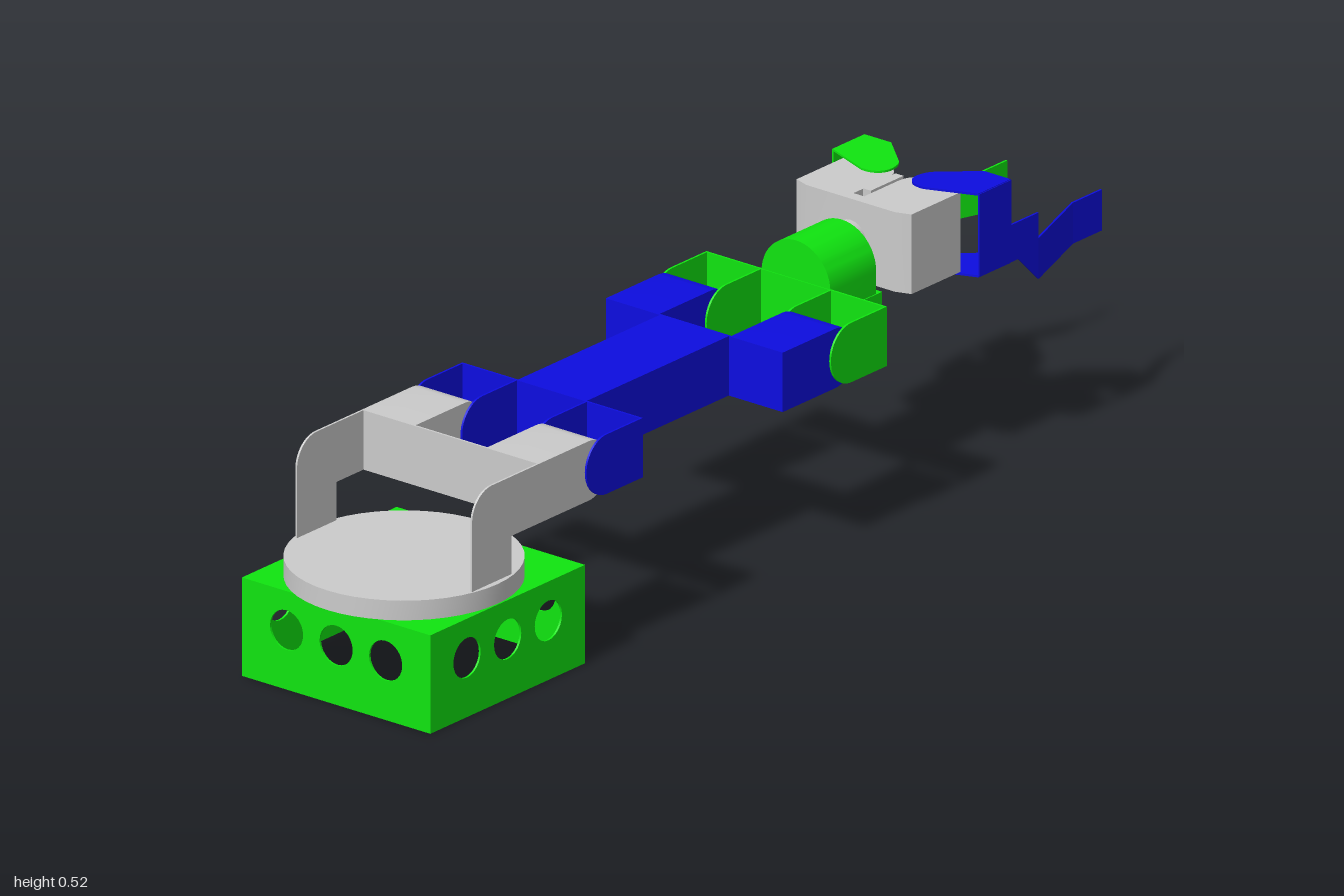
import * as THREE from 'three';
import { toCreasedNormals } from 'three/addons/utils/BufferGeometryUtils.js';

const material = (color) => new THREE.MeshStandardMaterial({ color, side: THREE.DoubleSide });
const T = 0.004; // sheet thickness
const Y0 = 0.295, Y1 = 0.407; // height range of the arm links

export function createModel() {
  const grey = material(0xcccccc), green = material(0x10e510), blue = material(0x0d0de0);
  const root = new THREE.Group();
  root.name = 'robotArm';

  const add = (name, geo, mat, parent = root) => {
    const mesh = new THREE.Mesh(toCreasedNormals(geo, 0.6), mat);
    mesh.name = name;
    parent.add(mesh);
    return mesh;
  };
  const box = (name, mat, x0, x1, y0, y1, z0, z1, parent) => {
    const geo = new THREE.BoxGeometry(x1 - x0, y1 - y0, z1 - z0);
    geo.translate((x0 + x1) / 2, (y0 + y1) / 2, (z0 + z1) / 2);
    return add(name, geo, mat, parent);
  };
  const poly = (pts) => new THREE.Shape(pts.map(([a, b]) => new THREE.Vector2(a, b)));
  const extrude = (shape, depth) =>
    new THREE.ExtrudeGeometry(shape, { depth, bevelEnabled: false, curveSegments: 12 });
  // x-y outline spanning z0..z1
  const sideCut = (shape, z0, z1) => extrude(shape, z1 - z0).translate(0, 0, z0);
  // plan outline (x, -z) spanning y0..y1
  const planCut = (shape, y0, y1) => extrude(shape, y1 - y0).rotateX(-Math.PI / 2).translate(0, y0, 0);

  // Flat at xFlat, rounded at xRound
  const lugShape = (xFlat, xRound) => {
    const r = (Y1 - Y0) / 2, dir = Math.sign(xRound - xFlat), cx = xRound - dir * r;
    const s = new THREE.Shape();
    s.moveTo(xFlat, Y0);
    s.lineTo(cx, Y0);
    s.absarc(cx, Y0 + r, r, -Math.PI / 2, Math.PI / 2, dir < 0);
    s.lineTo(xFlat, Y1);
    s.closePath();
    return s;
  };
  // Pair of thick rounded lugs joined by a cross wall
  const lugs = (name, mat, xFlat, xRound) => {
    for (const [z0, z1] of [[0.081, 0.2], [-0.2, -0.081]]) {
      add(name + 'Lug', sideCut(lugShape(xFlat, xRound), z0, z1), mat);
    }
    box(name + 'CrossWall', mat, xFlat - T / 2, xFlat + T / 2, Y0, Y1, -0.2, 0.2);
  };
  // Thin rounded plates straddling the lugs, joined by a cross wall
  const clevis = (name, mat, xFlat, xRound) => {
    for (const z of [-0.204, -0.081, 0.077, 0.2]) {
      add(name + 'ClevisPlate', sideCut(lugShape(xFlat, xRound), z, z + T), mat);
    }
    box(name + 'ClevisWall', mat, xFlat - T / 2, xFlat + T / 2, Y0, Y1, -0.204, 0.204);
  };

  // Base: open-bottomed box with three round holes in each wall
  const base = new THREE.Group();
  base.name = 'base';
  base.position.x = -0.763;
  root.add(base);
  const H = 0.213;
  for (let i = 0; i < 4; i++) {
    const wall = poly([[-H, 0], [H, 0], [H, 0.185], [-H, 0.185]]);
    for (const x of [-0.112, 0, 0.112]) {
      const hole = new THREE.Path();
      hole.absarc(x, 0.112, 0.0375, 0, Math.PI * 2, true);
      wall.holes.push(hole);
    }
    add('baseWall', sideCut(wall, H - T, H), green, base).rotation.y = i * Math.PI / 2;
  }
  box('baseTop', green, -H, H, 0.181, 0.1855, -H, H, base);

  // Turntable disc
  add('turntable', new THREE.CylinderGeometry(0.211, 0.211, 0.037, 48).translate(-0.789, 0.2045, 0), grey);

  // Shoulder: thin upright side plates bent into the first lugs
  const upright = poly([[-0.845, 0.222], [-0.737, 0.222], [-0.737, Y0], [-0.66, Y0], [-0.66, Y1], [-0.79, Y1]]);
  upright.absarc(-0.79, Y1 - 0.055, 0.055, Math.PI / 2, Math.PI, false);
  for (const z of [-0.2, 0.2 - T]) add('shoulderPlate', sideCut(upright, z, z + T), grey);
  lugs('shoulder', grey, -0.66, -0.468);

  // Main arm link
  clevis('armLink', blue, -0.382, -0.535);
  box('armBeam', blue, -0.382, 0.012, Y0, Y1, -0.078, 0.078);
  lugs('armLink', blue, 0.012, 0.21);

  // Wrist: clevis with an arched motor housing
  clevis('wrist', green, 0.29, 0.138);
  const arch = poly([[-0.078, Y0], [0.078, Y0], [0.078, 0.402]]);
  arch.absarc(0, 0.402, 0.078, 0, Math.PI, false);
  add('wristHousing', extrude(arch, 0.126).rotateY(Math.PI / 2).translate(0.29, 0, 0), green);
  box('wristFoot', green, 0.29, 0.43, Y0, 0.36, -0.08, 0.08);
  add('wristShaft', new THREE.CylinderGeometry(0.035, 0.035, 0.04, 24)
    .rotateZ(Math.PI / 2).translate(0.427, 0.437, 0), grey);

  // Gripper: mirrored body halves and fingers
  const finger = [
    // outline in x-y, then the straight run (x0, z0)-(x1, z1) it follows
    [[[0.592, 0.36], [0.7, 0.36], [0.755, 0.305], [0.755, 0.43], [0.68, 0.43], [0.68, 0.515], [0.592, 0.515]],
      0.592, 0.165, 0.755, 0.165],
    [[[0.755, 0.305], [0.92, 0.305], [0.92, 0.382], [0.755, 0.382]], 0.755, 0.165, 0.92, 0.107],
    [[[0.92, 0.305], [1, 0.305], [1, 0.382], [0.92, 0.382]], 0.92, 0.107, 1, 0.107],
  ];
  for (const [side, mat, label] of [[1, blue, 'left'], [-1, green, 'right']]) {
    const half = new THREE.Group();
    half.name = label + 'GripperHalf';
    half.scale.z = side;
    root.add(half);

    // body half with a rounded inner front corner
    const body = poly([[0.44, -0.012], [0.44, -0.1], [0.45, -0.13], [0.585, -0.13], [0.6, -0.06]]);
    body.quadraticCurveTo(0.6, -0.012, 0.555, -0.012);
    add('gripperBody', planCut(body, 0.362, 0.512), grey, half);

    // top and bottom pivot plates of the finger
    const lobe = poly([[0.592, -0.165], [0.68, -0.165], [0.68, -0.105], [0.622, -0.04]]);
    lobe.quadraticCurveTo(0.605, -0.025, 0.58, -0.028);
    lobe.quadraticCurveTo(0.553, -0.035, 0.555, -0.07);
    for (const y of [0.358, 0.512]) add('fingerPivotPlate', planCut(lobe, y, y + T), mat, half);

    for (const [pts, x0, z0, x1, z1] of finger) {
      const geo = sideCut(poly(pts), -T / 2, T / 2);
      const p = geo.attributes.position;
      for (let i = 0; i < p.count; i++) {
        p.setZ(i, p.getZ(i) + z0 + (z1 - z0) * (p.getX(i) - x0) / (x1 - x0));
      }
      add('finger', geo, mat, half);
    }
  }
  // Centre web between the gripper halves
  box('gripperBackWeb', grey, 0.44, 0.463, 0.362, 0.512, -0.013, 0.013);
  box('gripperCentreWeb', grey, 0.485, 0.575, 0.362, 0.515, -0.009, 0.009);

  return root;
}
